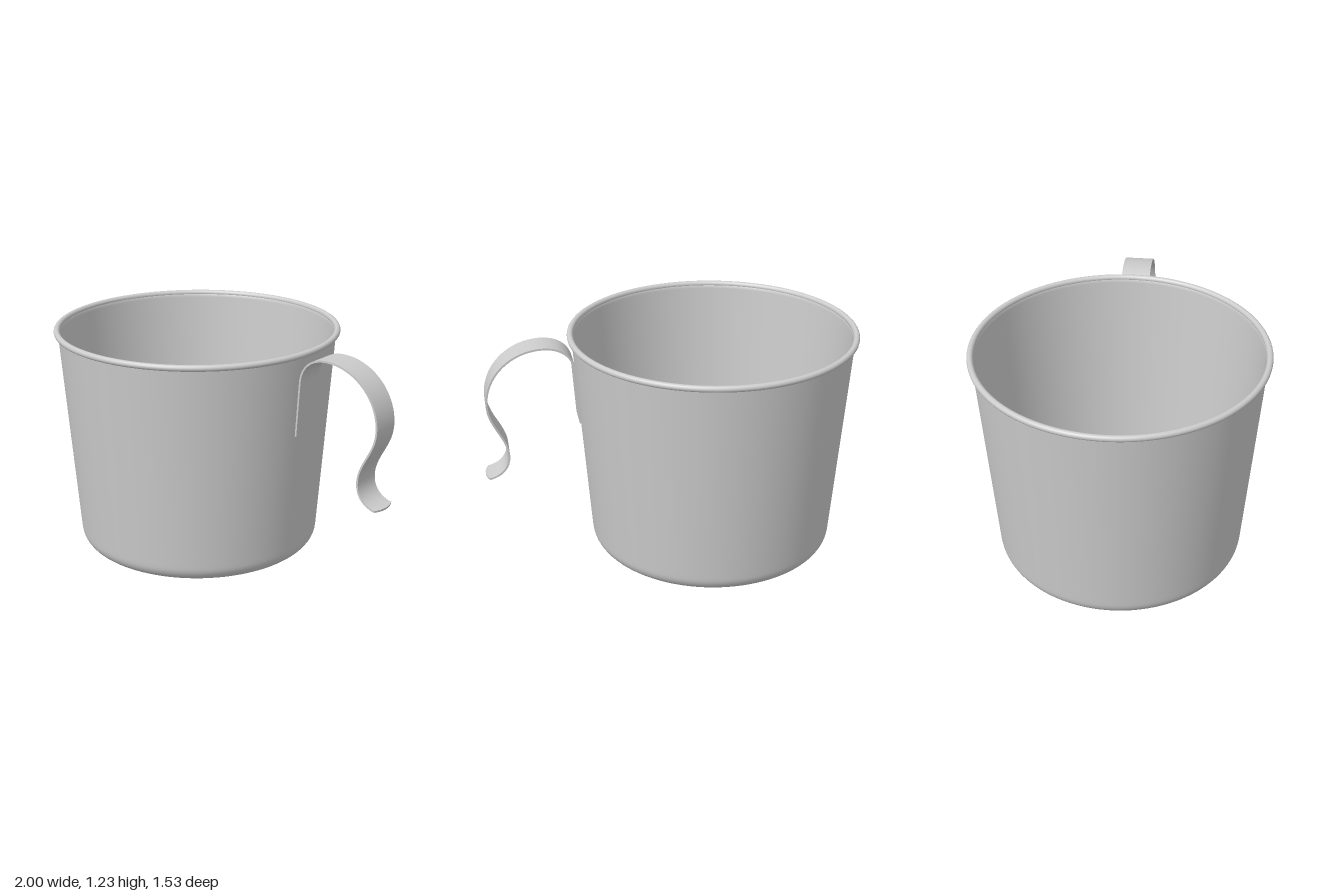
import * as THREE from 'three';
import { toCreasedNormals } from 'three/addons/utils/BufferGeometryUtils.js';

const CUP_X = -0.233;
const WALL = 0.01;
const STRAP_WIDTH = 0.155;

const material = () => new THREE.MeshStandardMaterial({ color: 0xcccccc });

function addMesh(group, name, geometry) {
  const mesh = new THREE.Mesh(geometry, material());
  mesh.name = name;
  group.add(mesh);
  return mesh;
}

// Half section of the sheet-metal cup, inset by t: floor, rounded corner, sloped wall
function section(t) {
  const points = [new THREE.Vector2(0, t), new THREE.Vector2(0.55, t)];
  const slope = 0.077, r = 0.09 - t;
  for (let i = 0; i <= 10; i++) {
    const a = -Math.PI / 2 + (i / 10) * (Math.PI / 2 - slope);
    points.push(new THREE.Vector2(0.569 + r * Math.cos(a), 0.09 + r * Math.sin(a)));
  }
  for (const f of [0.02, 0.5, 0.98, 1]) {
    points.push(new THREE.Vector2(0.659 + 0.087 * f - t, 0.083 + 1.127 * f));
  }
  return points;
}

// Thin bent strap: offset a centre line both ways and extrude it across z
function strapGeometry() {
  const path = new THREE.CurvePath();
  const v = (x, y) => new THREE.Vector2(x, y);
  path.add(new THREE.LineCurve(v(0.488, 0.77), v(0.508, 1.06)));
  path.add(new THREE.CubicBezierCurve(v(0.508, 1.06), v(0.515, 1.16), v(0.585, 1.203), v(0.67, 1.203)));
  path.add(new THREE.CubicBezierCurve(v(0.67, 1.203), v(0.84, 1.203), v(0.973, 1.07), v(0.973, 0.91)));
  path.add(new THREE.CubicBezierCurve(v(0.973, 0.91), v(0.973, 0.79), v(0.872, 0.72), v(0.872, 0.61)));
  path.add(new THREE.CubicBezierCurve(v(0.872, 0.61), v(0.872, 0.535), v(0.925, 0.49), v(0.999, 0.484)));

  const left = [], right = [];
  const count = 110;
  for (let i = 0; i <= count; i++) {
    const p = path.getPointAt(i / count), d = path.getTangentAt(i / count);
    const n = new THREE.Vector2(-d.y, d.x).multiplyScalar(0.005);
    left.push(p.clone().add(n));
    right.push(p.clone().sub(n));
  }
  const geometry = new THREE.ExtrudeGeometry(new THREE.Shape([...left, ...right.reverse()]), {
    depth: STRAP_WIDTH, steps: 8, bevelEnabled: false,
  });
  geometry.translate(0, 0, -STRAP_WIDTH / 2);

  // Bow the free tip so its corners are drawn back
  const pos = geometry.attributes.position;
  for (let i = 0; i < pos.count; i++) {
    const x = pos.getX(i);
    if (pos.getY(i) < 0.55 && x > 0.95) {
      const k = (x - 0.95) / 0.05, s = pos.getZ(i) / (STRAP_WIDTH / 2);
      pos.setX(i, x - 0.018 * k * s * s);
      pos.setY(i, pos.getY(i) + 0.002 * k * s * s);
    }
  }
  return toCreasedNormals(geometry, 0.6);
}

export function createModel() {
  const model = new THREE.Group();
  model.name = 'cup';

  // Double-walled body, outside up and inside back down
  const profile = [...section(0), ...section(WALL).reverse()];
  addMesh(model, 'body', new THREE.LatheGeometry(profile, 96)).position.x = CUP_X;

  // Rolled rim
  const rim = addMesh(model, 'rim', new THREE.TorusGeometry(0.751, 0.0165, 16, 96));
  rim.rotation.x = Math.PI / 2;
  rim.position.set(CUP_X, 1.21, 0);

  // Handle strap
  addMesh(model, 'handle', strapGeometry());

  return model;
}
